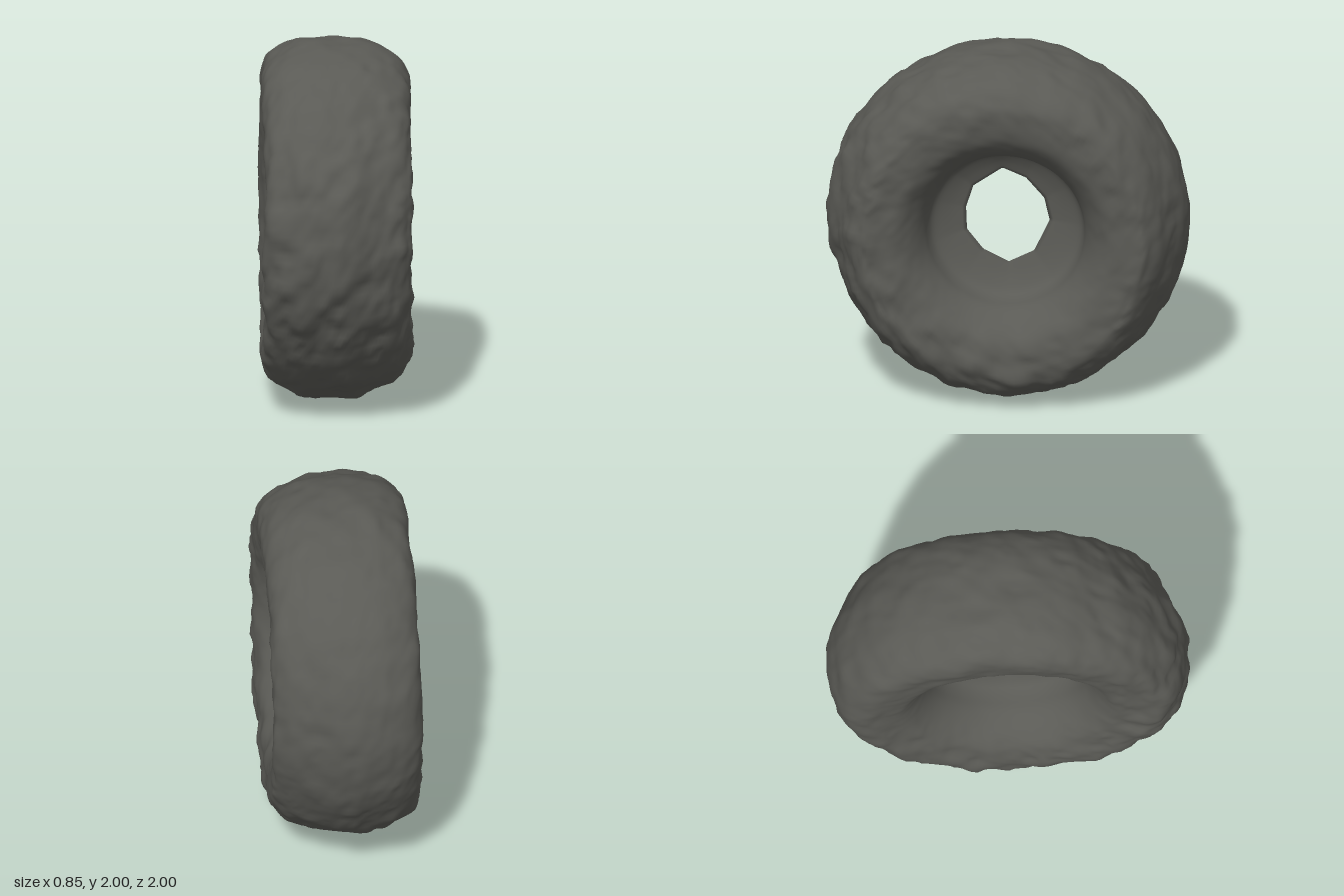
import * as THREE from 'three';
import { mergeVertices } from 'three/addons/utils/BufferGeometryUtils.js';

// seeded lattice value noise, range -1..1
function hash(x, y, z) {
  let h = (Math.imul(x, 374761393) + Math.imul(y, 668265263) + Math.imul(z, 1274126177)) | 0;
  h = Math.imul(h ^ (h >>> 13), 1274126177);
  return (((h ^ (h >>> 16)) >>> 0) / 4294967295) * 2 - 1;
}
function noise(x, y, z) {
  const ix = Math.floor(x), iy = Math.floor(y), iz = Math.floor(z);
  const s = (t) => t * t * (3 - 2 * t);
  const u = s(x - ix), v = s(y - iy), w = s(z - iz);
  let sum = 0;
  for (let a = 0; a < 2; a++)
    for (let b = 0; b < 2; b++)
      for (let c = 0; c < 2; c++)
        sum += hash(ix + a, iy + b, iz + c) * (a ? u : 1 - u) * (b ? v : 1 - v) * (c ? w : 1 - w);
  return sum;
}

// cross-section pieces as [radius, distance from the middle plane]
const RIM = 0.25, BORE = 0.43;
const DISH = [[0.34, 0.035], [0.41, 0.08], [BORE, 0.13], [0.445, 0.2],
  [0.48, 0.27], [0.53, 0.33], [0.59, 0.375], [0.68, 0.395]];
const LEFT_SHOULDER = [[0.8, 0.393], [0.87, 0.355], [0.92, 0.29], [0.965, 0.18]];
const RIGHT_SHOULDER = [[0.8, 0.412], [0.88, 0.385], [0.94, 0.3], [0.98, 0.19]];

// rough-cut hub opening, corners as [z, height above the axis]
const HOLE = [[0.03, 0.3], [-0.1, 0.245], [-0.2, 0.13], [-0.23, 0], [-0.145, -0.18],
  [-0.005, -0.25], [0.135, -0.18], [0.225, -0.065], [0.23, 0.065], [0.19, 0.19]];

// distance from the axis to the edge of the opening, in direction (dz, dy)
function holeRadius(dz, dy) {
  for (let i = 0; i < HOLE.length; i++) {
    const [az, ay] = HOLE[i], [bz, by] = HOLE[(i + 1) % HOLE.length];
    const ez = bz - az, ey = by - ay, det = dz * ey - dy * ez;
    const t = (az * ey - ay * ez) / det, k = (az * dy - ay * dz) / det;
    if (t > 0 && k >= -1e-6 && k <= 1 + 1e-6) return t;
  }
  return RIM;
}

function createWheel() {
  const { smoothstep, mapLinear } = THREE.MathUtils;
  const rightSide = [...DISH, ...RIGHT_SHOULDER].map(([r, x]) => [r, -x]);
  const leftSide = [...DISH, ...LEFT_SHOULDER].reverse();
  const section = [[RIM, 0], ...rightSide, [0.99, -0.03], ...leftSide, [RIM, 0]];
  const curve = new THREE.CatmullRomCurve3(
    section.map(([r, x]) => new THREE.Vector3(r, x, 0)), false, 'centripetal');
  const profile = curve.getSpacedPoints(120).map((p) => new THREE.Vector2(p.x, p.y));
  let geo = new THREE.LatheGeometry(profile, 160);
  geo.rotateZ(-Math.PI / 2);
  geo.deleteAttribute('uv');
  geo.deleteAttribute('normal');
  geo = mergeVertices(geo, 1e-4);
  geo.computeVertexNormals();

  const pos = geo.attributes.position, nor = geo.attributes.normal;
  const p = new THREE.Vector3(), n = new THREE.Vector3();
  for (let i = 0; i < pos.count; i++) {
    p.fromBufferAttribute(pos, i);
    n.fromBufferAttribute(nor, i);
    const r = Math.hypot(p.y, p.z);

    // lumps and sharp ridges, fading out toward the hub
    const rough = smoothstep(r, 0.36, 0.85);
    const low = 1 + 0.3 * (p.z - p.y);
    const ridge = 0.35 - Math.abs(noise(p.x * 7 + 2, p.y * 7, p.z * 7 + 4));
    const d = 0.012 * ridge
      + 0.013 * low * noise(p.x * 10, p.y * 10 + 5, p.z * 10)
      + 0.007 * low * noise(p.x * 23, p.y * 23, p.z * 23 + 3);

    // left shoulder is worn down at the front and back
    const wear = 0.05 * smoothstep(p.x, 0, 0.25) * smoothstep(r, 0.72, 0.88) * (p.z / r) ** 2;
    let k = 1 - wear / r;

    // pull the inner dish to the uneven opening
    if (r < BORE) k = mapLinear(r, RIM, BORE, holeRadius(p.z / r, p.y / r), BORE) / r;
    p.y *= k;
    p.z *= k;
    p.addScaledVector(n, d * rough);
    pos.setXYZ(i, p.x, p.y + 1, p.z);
  }
  geo.computeVertexNormals();
  return geo;
}

export function createModel() {
  const group = new THREE.Group();
  group.name = 'stoneWheel';
  const stone = new THREE.MeshStandardMaterial({ color: 0x5a5a55 });
  stone.name = 'dark stone';
  const wheel = new THREE.Mesh(createWheel(), stone);
  wheel.name = 'wheel';
  group.add(wheel);
  return group;
}
